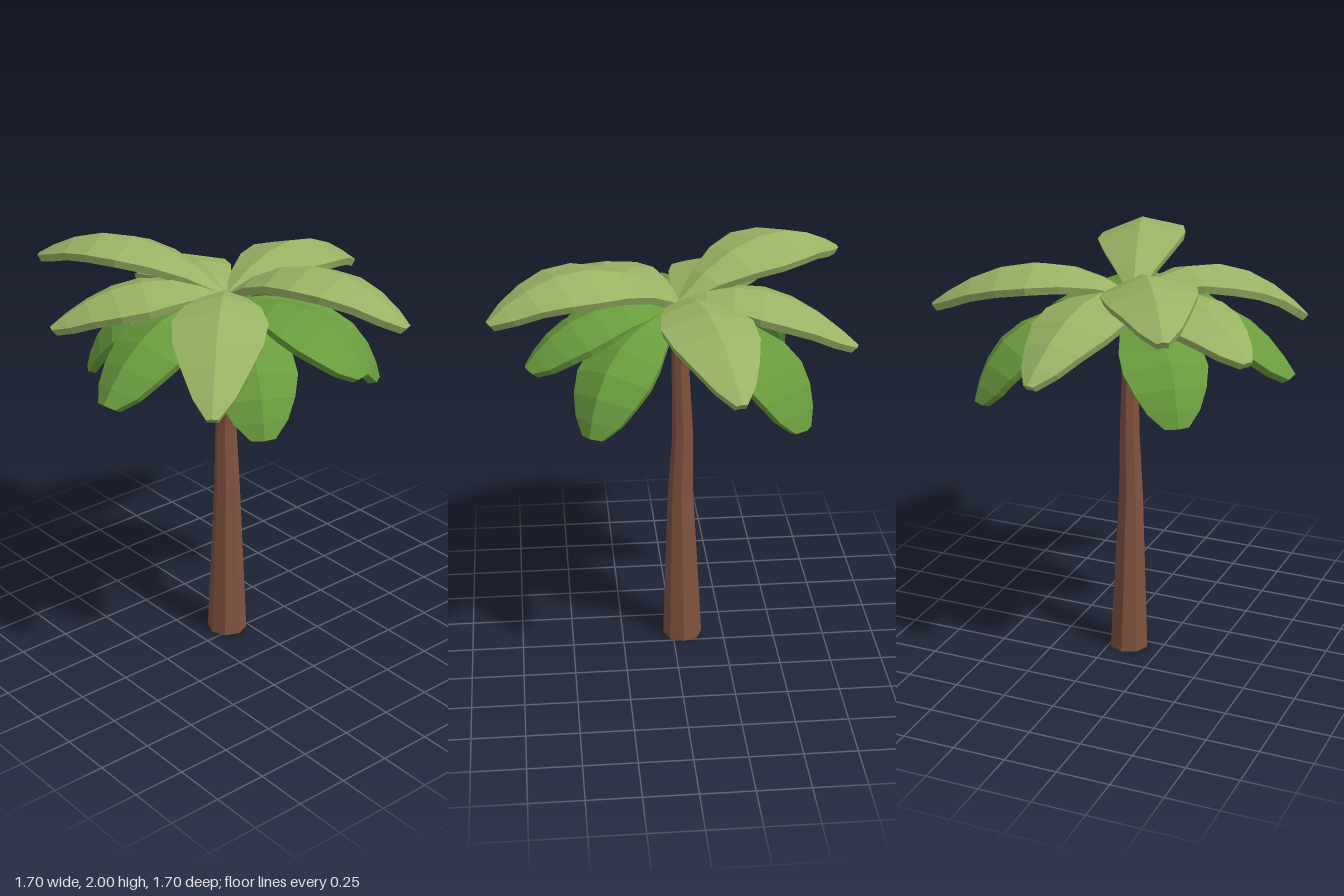
import * as THREE from 'three';

const paleLeaf = new THREE.MeshStandardMaterial({ color: 0x98b364, flatShading: true });
paleLeaf.name = 'paleLeaf';
const deepLeaf = new THREE.MeshStandardMaterial({ color: 0x6a9c3e, flatShading: true });
deepLeaf.name = 'deepLeaf';
const bark = new THREE.MeshStandardMaterial({ color: 0x80523f, flatShading: true });
bark.name = 'bark';

// Half widths along a frond, from stem to tip
const STATIONS = [0, 0.15, 0.31, 0.48, 0.65, 0.8, 0.92, 1];
const POINTED = [0.02, 0.1, 0.17, 0.21, 0.195, 0.145, 0.09, 0.025];
const BLUNT = [0.02, 0.09, 0.15, 0.19, 0.195, 0.165, 0.12, 0.055];

// Thick folded blade swept along an arched spine
function frondGeometry({ root, tip, midY, reach, widths, fold, roll }) {
  const a = new THREE.Vector3(...root);
  const c = new THREE.Vector3(...tip);
  const mid = a.clone().lerp(c, reach).setY(midY);
  const control = mid.multiplyScalar(2).addScaledVector(a, -0.5).addScaledVector(c, -0.5);
  const spine = new THREE.QuadraticBezierCurve3(a, control, c);
  const flat = c.clone().sub(a).setY(0).normalize();
  const side0 = flat.cross(new THREE.Vector3(0, 1, 0));
  const thickness = 0.037;

  const rings = STATIONS.map((t, i) => {
    const p = spine.getPoint(t);
    const tangent = spine.getTangent(t);
    const side = side0.clone().applyAxisAngle(tangent, roll);
    const up = side.clone().cross(tangent).normalize();
    const w = widths[i];
    const at = (s, n) => p.clone().addScaledVector(side, s).addScaledVector(up, n);
    const drop = -w * fold;
    return [at(-w, drop), at(0, 0), at(w, drop),
      at(w * 0.95, drop - thickness), at(0, -thickness), at(-w * 0.95, drop - thickness)];
  });

  const pos = [];
  const tri = (...pts) => pts.forEach((p) => pos.push(p.x, p.y, p.z));
  for (let s = 0; s < rings.length - 1; s++) {
    for (let i = 0; i < 6; i++) {
      const j = (i + 1) % 6;
      tri(rings[s][i], rings[s][j], rings[s + 1][j]);
      tri(rings[s][i], rings[s + 1][j], rings[s + 1][i]);
    }
  }
  const first = rings[0], last = rings[rings.length - 1];
  for (let i = 1; i < 5; i++) {
    tri(first[0], first[i + 1], first[i]);
    tri(last[0], last[i], last[i + 1]);
  }
  const geo = new THREE.BufferGeometry();
  geo.setAttribute('position', new THREE.Float32BufferAttribute(pos, 3));
  geo.computeVertexNormals();
  return geo;
}

// Eight-sided tapering trunk with a slight bend
function trunkGeometry() {
  // y, x, z, radius
  const levels = [[0, -0.085, -0.05, 0.096], [0.8, -0.088, -0.04, 0.061],
    [1.1, -0.085, -0.05, 0.05], [1.74, -0.078, -0.028, 0.034]];
  const geo = new THREE.CylinderGeometry(1, 1, 3, 8, 3);
  const p = geo.attributes.position;
  for (let i = 0; i < p.count; i++) {
    const [y, x, z, r] = levels[Math.round(p.getY(i) + 1.5)];
    p.setXYZ(i, x + p.getX(i) * r, y, z + p.getZ(i) * r);
  }
  geo.computeVertexNormals();
  return geo;
}

export function createModel() {
  const model = new THREE.Group();
  const add = (name, geo, mat) => {
    const mesh = new THREE.Mesh(geo, mat);
    mesh.name = name;
    model.add(mesh);
  };
  add('trunk', trunkGeometry(), bark);

  // Upper fronds: tip, arch height, roll
  const upper = [
    [[0.85, 1.68, -0.21], 1.9, 0],
    [[0.05, 1.59, -0.85], 1.84, 0],
    [[-0.56, 1.86, -0.84], 2.0, 0.1],
    [[-0.79, 1.675, -0.43], 1.86, 0],
    [[-0.715, 1.58, 0.63], 1.87, 0],
    [[0.2, 1.82, 0.845], 2.0, -0.1],
  ];
  upper.forEach(([tip, midY, roll], i) => add(`upperFrond${i + 1}`, frondGeometry({
    root: [-0.09, 1.78, -0.03], tip, midY, reach: 0.5, widths: POINTED, fold: 0.3, roll,
  }), paleLeaf));

  // Lower fronds: tip, arch height, reach of the arch
  const lower = [
    [[0.46, 1.36, -0.555], 1.7, 0.68],
    [[0.46, 1.36, 0.415], 1.7, 0.68],
    [[-0.39, 1.36, 0.585], 1.7, 0.68],
    [[-0.85, 1.475, 0.05], 1.76, 0.57],
    [[-0.52, 1.37, -0.545], 1.7, 0.68],
    [[0.12, 1.565, 0.685], 1.79, 0.57],
  ];
  lower.forEach(([tip, midY, reach], i) => add(`lowerFrond${i + 1}`, frondGeometry({
    root: [-0.085, 1.75, -0.03], tip, midY, reach, widths: BLUNT, fold: 0.36, roll: 0,
  }), deepLeaf));
  return model;
}
